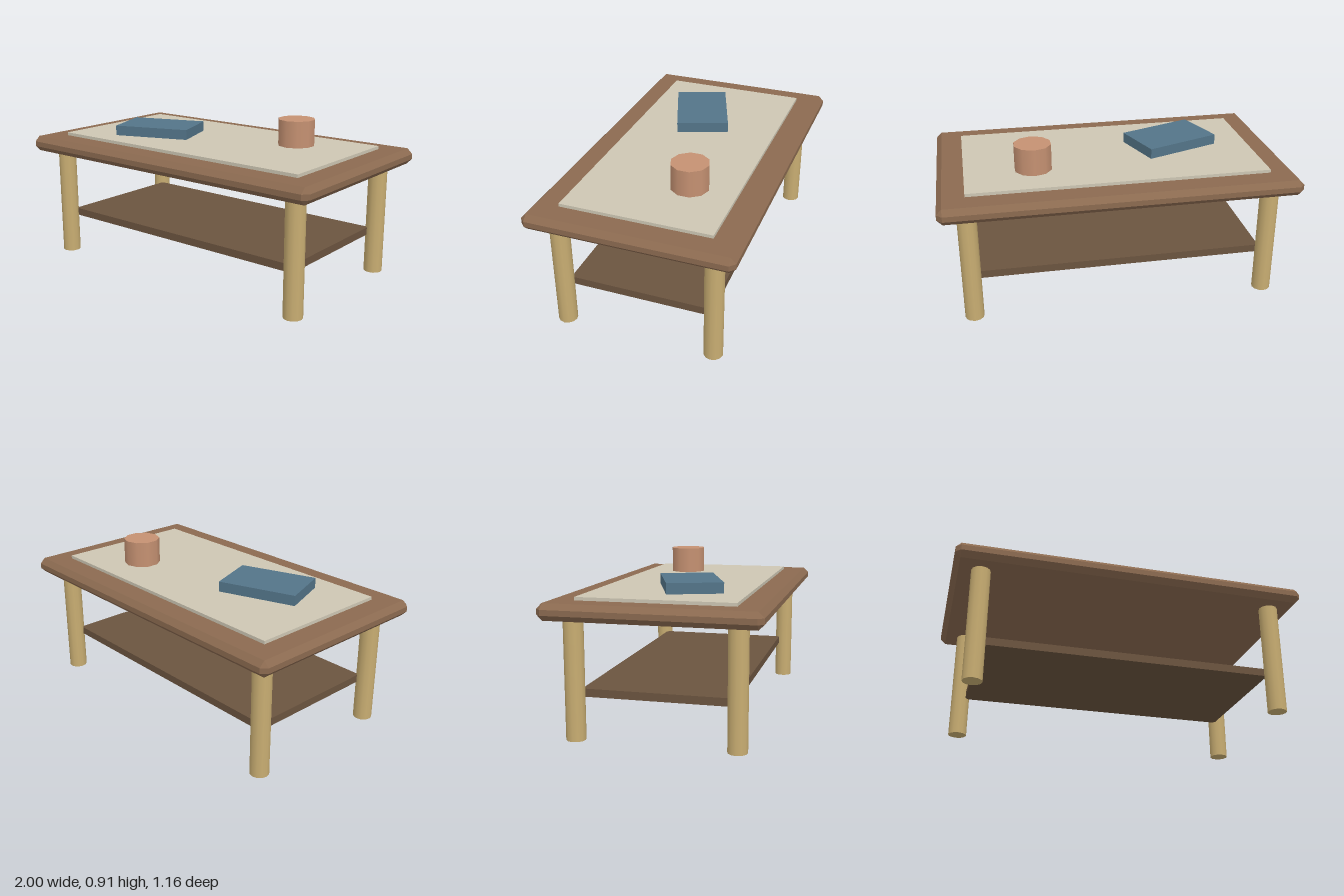
import * as THREE from 'three';
import { ConvexGeometry } from 'three/addons/geometries/ConvexGeometry.js';

const material = (name, color) => {
  const m = new THREE.MeshStandardMaterial({ color });
  m.name = name;
  return m;
};

// Box with every edge cut at 45 degrees and every corner cut to a triangle
function chamferedBox(w, h, d, c) {
  const points = [];
  for (const x of [-w / 2, w / 2])
    for (const y of [-h / 2, h / 2])
      for (const z of [-d / 2, d / 2]) {
        const ix = x - Math.sign(x) * c, iy = y - Math.sign(y) * c, iz = z - Math.sign(z) * c;
        points.push(
          new THREE.Vector3(x, iy, iz),
          new THREE.Vector3(ix, y, iz),
          new THREE.Vector3(ix, iy, z)
        );
      }
  return new ConvexGeometry(points);
}

export function createModel() {
  const group = new THREE.Group();
  group.name = 'coffeeTable';

  const wood = material('brown wood', 0x8b6a50);
  const darkWood = material('dark wood', 0x6b543f);
  const paleWood = material('pale wood', 0xc8ad72);
  const linen = material('linen', 0xcdc6b3);
  const blue = material('book blue', 0x537488);
  const clay = material('clay', 0xc59172);

  const add = (name, geometry, mat, x, y, z) => {
    const mesh = new THREE.Mesh(geometry, mat);
    mesh.name = name;
    mesh.position.set(x, y, z);
    group.add(mesh);
    return mesh;
  };

  // Table
  add('tableTop', chamferedBox(2, 0.09, 1.156, 0.03), wood, 0, 0.695, 0);
  add('shelf', new THREE.BoxGeometry(1.64, 0.044, 0.81), darkWood, 0, 0.248, 0);

  const legGeometry = new THREE.CylinderGeometry(0.0535, 0.0535, 0.65, 12);
  for (const [side, x] of [['Left', 0.849], ['Right', -0.849]])
    for (const [end, z] of [['front', 0.4325], ['back', -0.4325]])
      add(`${end}${side}Leg`, legGeometry, paleWood, x, 0.325, z);

  // Things on the table
  add('runner', new THREE.BoxGeometry(1.698, 0.018, 0.846), linen, 0, 0.749, 0);
  const book = add('book', new THREE.BoxGeometry(0.457, 0.059, 0.305), blue, -0.387, 0.7875, 0.0735);
  book.rotation.y = 0.35;
  add('cup', new THREE.CylinderGeometry(0.107, 0.107, 0.152, 10), clay, 0.46, 0.834, -0.158);

  return group;
}
